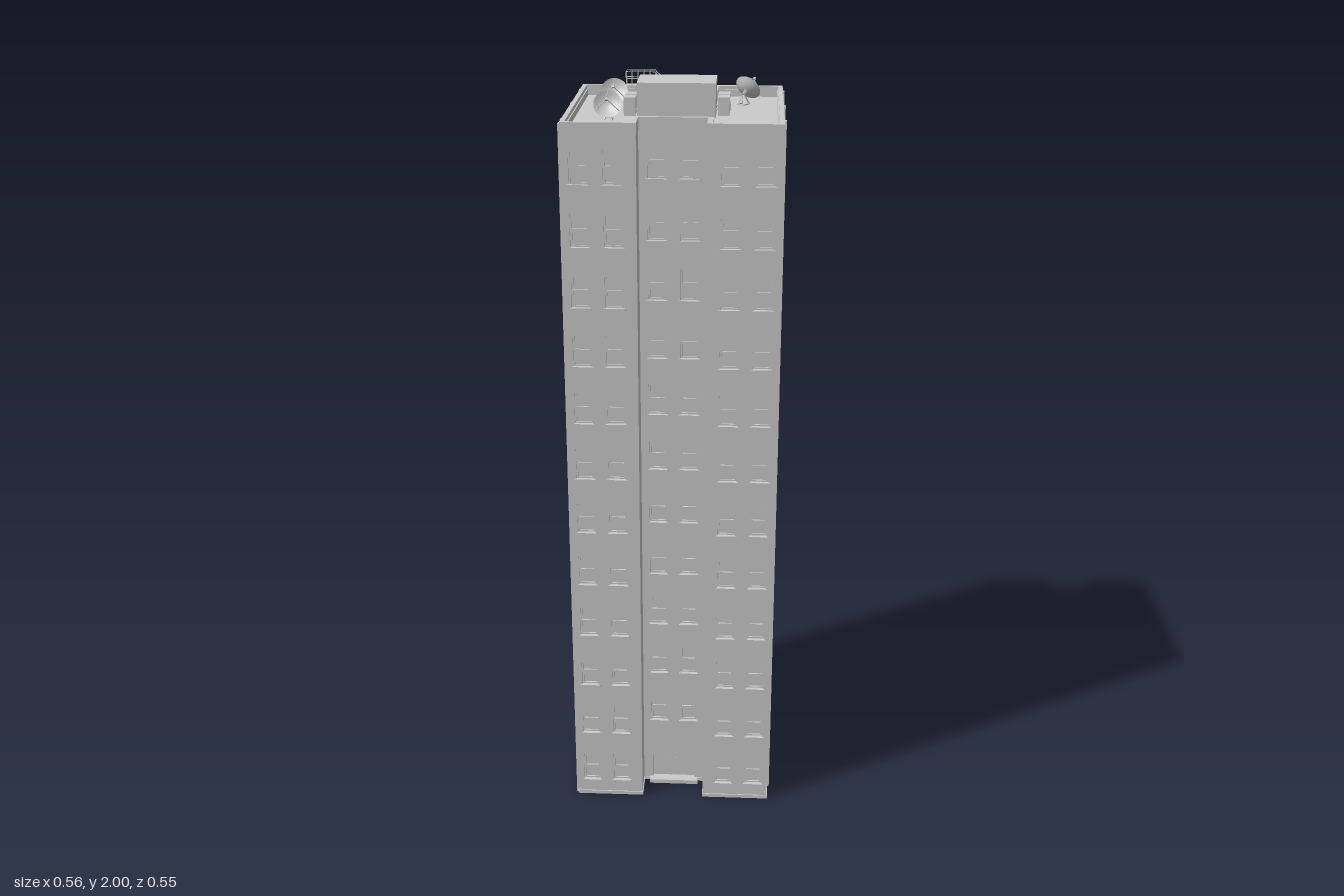
import * as THREE from 'three';
import { mergeGeometries } from 'three/addons/utils/BufferGeometryUtils.js';

const mat = new THREE.MeshStandardMaterial({ color: 0xcccccc, side: THREE.DoubleSide });
const D = 0.012, ROOF = 1.912, FLOOR = 0.158, ROWS = 12, WIN_W = 0.047, WIN_H = 0.086;
const V = (x, y, z) => new THREE.Vector3(x, y, z);

function mesh(name, geometry) {
  const m = new THREE.Mesh(geometry, mat);
  m.name = name;
  return m;
}
const merged = (name, list) =>
  mesh(name, mergeGeometries(list.map(g => (g.index ? g.toNonIndexed() : g))));

function box(w, h, d, x, y, z) {
  return new THREE.BoxGeometry(w, h, d).translate(x, y, z);
}

// Straight bar between two points
function bar(a, b, t = 0.0018, h = t) {
  const dir = b.clone().sub(a), g = new THREE.BoxGeometry(dir.length(), h, t);
  g.applyQuaternion(new THREE.Quaternion().setFromUnitVectors(V(1, 0, 0), dir.normalize()));
  const c = a.clone().add(b).multiplyScalar(0.5);
  return g.translate(c.x, c.y, c.z);
}

function rect(cls, cx, cy, w, h) {
  const p = [[-1, -1], [1, -1], [1, 1], [-1, 1]];
  return new cls(p.map(([x, y]) => new THREE.Vector2(cx + x * w / 2, cy + y * h / 2)));
}

// H-shaped plan: outer half size o, notch half width n, notch wall at r
function plan(cls, o, n, r) {
  const half = [[o, -o], [o, o], [n, o], [n, r], [-n, r], [-n, o]];
  const pts = [...half, ...half.map(([x, y]) => [-x, -y])];
  return new cls(pts.map(p => new THREE.Vector2(...p)));
}

function extrudeUp(shape, y0, y1) {
  return new THREE.ExtrudeGeometry(shape, { depth: y1 - y0, bevelEnabled: false })
    .rotateX(-Math.PI / 2).translate(0, y0, 0);
}

// Frame bars of one sash
function sash(x, y, z) {
  const w = WIN_W, h = WIN_H / 2 + 0.002, t = 0.005;
  const s = rect(THREE.Shape, x, y, w, h);
  s.holes.push(rect(THREE.Path, x, y, w - 2 * t, h - 2 * t));
  return new THREE.ExtrudeGeometry(s, { depth: 0.004, bevelEnabled: false }).translate(0, 0, z);
}

// Wall panel with recessed windows; its outer face is at local z = 0
function wall(name, width, cols, x, z, turn, hasDoor = false) {
  const g = new THREE.Group(), frames = [], sills = [];
  const shape = rect(THREE.Shape, 0, 0.965, width, 1.93);
  for (let row = hasDoor ? 1 : 0; row < ROWS; row++) {
    const y = 0.091 + row * FLOOR;
    for (const cx of cols) {
      shape.holes.push(rect(THREE.Path, cx, y, WIN_W, WIN_H));
      frames.push(sash(cx, y + WIN_H / 4, -0.007), sash(cx, y - WIN_H / 4, -0.0115));
      sills.push(box(WIN_W + 0.008, 0.005, 0.008, cx, y - WIN_H / 2 - 0.002, 0));
    }
  }
  if (hasDoor) {
    shape.holes.push(rect(THREE.Path, 0, 0.07, 0.12, 0.116));
    const leaves = [];
    for (const s of [-1, 1]) {
      leaves.push(box(0.057, 0.112, 0.004, s * 0.03, 0.07, -0.009));
      leaves.push(box(0.002, 0.02, 0.004, s * 0.007, 0.065, -0.005));
    }
    g.add(merged('entranceDoors', leaves), mesh('doorStep', box(0.14, 0.012, 0.02, 0, 0.006, 0.008)));
  }
  const panel = new THREE.ExtrudeGeometry(shape, { depth: D, bevelEnabled: false }).translate(0, 0, -D);
  g.add(mesh('wallPanel', panel), merged('windowSashes', frames), merged('windowSills', sills));
  g.name = name;
  g.position.set(x, 0, z);
  g.rotation.y = turn;
  return g;
}

// Stair flight with treads, stringers and handrails
function flight(out, x0, y0, x1, y1, z) {
  const n = 8, rail = 0.036;
  for (let i = 0; i < n; i++) {
    const t = (i + 0.5) / n;
    out.push(box(0.012, 0.002, 0.028, x0 + (x1 - x0) * t, y0 + (y1 - y0) * t, z));
  }
  for (const s of [-0.015, 0.015]) {
    out.push(bar(V(x0, y0, z + s), V(x1, y1, z + s), 0.002, 0.007));
    out.push(bar(V(x0, y0 + rail, z + s), V(x1, y1 + rail, z + s)));
    for (let i = 0; i <= 4; i++) {
      const x = x0 + (x1 - x0) * i / 4, y = y0 + (y1 - y0) * i / 4;
      out.push(bar(V(x, y, z + s), V(x, y + rail, z + s), 0.0014));
    }
  }
}

// Railing along a line
function railing(out, a, b, n) {
  const up = h => V(0, h, 0);
  for (const h of [0.02, 0.038]) out.push(bar(a.clone().add(up(h)), b.clone().add(up(h))));
  for (let i = 0; i <= n; i++) {
    const p = a.clone().lerp(b, i / n);
    out.push(bar(p, p.clone().add(up(0.038)), 0.0014));
  }
}

function landing(out, side, y) {
  out.push(box(0.033, 0.003, 0.07, side * 0.0685, y, -0.235));
  railing(out, V(side * 0.084, y, -0.269), V(side * 0.084, y, -0.2), 4);
  railing(out, V(side * 0.084, y, -0.269), V(side * 0.053, y, -0.269), 3);
}

function fireEscape() {
  const out = [], outer = -0.253, inner = -0.219;
  for (let k = 0; k < ROWS; k++) {
    const y = 0.02 + k * FLOOR, mid = y + FLOOR / 2, last = k === ROWS - 1;
    landing(out, -1, y);
    landing(out, 1, mid);
    flight(out, -0.052, y, 0.052, mid, outer);
    flight(out, 0.052, mid, last ? -0.07 : -0.052, last ? 1.947 : y + FLOOR, inner);
  }
  // Bridge over the parapet
  out.push(box(0.08, 0.003, 0.03, -0.11, 1.947, inner));
  for (const s of [-0.015, 0.015]) {
    railing(out, V(-0.07, 1.947, inner + s), V(-0.149, 1.947, inner + s), 5);
    out.push(bar(V(-0.147, ROOF, inner + s), V(-0.147, 1.947, inner + s), 0.003));
  }
  return merged('fireEscape', out);
}

// Satellite dish aimed along +z and tilted upwards, on a strutted stand
function dish(x, z, turn) {
  const g = new THREE.Group(), head = new THREE.Group(), R = 0.036;
  const profile = [0, 0.25, 0.5, 0.75, 1].map(t => new THREE.Vector2(R * t, 0.013 * t * t));
  head.add(mesh('dishBowl', new THREE.LatheGeometry(profile, 24).rotateX(Math.PI / 2)));
  const tip = V(0, 0, 0.048), struts = [box(0.006, 0.006, 0.008, 0, 0, 0.048)];
  for (let i = 0; i < 3; i++) {
    const a = Math.PI / 2 + i * Math.PI * 2 / 3;
    struts.push(bar(V(Math.cos(a) * R * 0.95, Math.sin(a) * R * 0.95, 0.012), tip, 0.0016));
  }
  head.add(merged('dishFeed', struts));
  head.rotation.x = -Math.PI / 6;
  head.position.y = 0.036;
  const legs = [bar(V(0, 0.036, 0), V(0, 0.026, -0.014), 0.006)];
  for (const s of [-1, 1]) {
    legs.push(bar(V(0, 0.03, -0.01), V(s * 0.01, 0, -0.026), 0.003));
    legs.push(bar(V(0, 0.03, -0.01), V(s * 0.01, 0, 0.002), 0.003));
    legs.push(bar(V(s * 0.01, 0.002, -0.026), V(s * 0.01, 0.002, 0.002), 0.003));
  }
  legs.push(bar(V(-0.01, 0.002, -0.026), V(0.01, 0.002, -0.026), 0.003));
  g.add(head, merged('dishStand', legs));
  g.name = 'satelliteDish';
  g.position.set(x, ROOF, z);
  g.rotation.y = turn;
  return g;
}

export function createModel() {
  const model = new THREE.Group();
  model.name = 'apartmentTower';

  // Body, plinth and parapet
  model.add(mesh('buildingCore', extrudeUp(plan(THREE.Shape, 0.27 - D, 0.087, 0.195 - D), 0, ROOF)));
  model.add(mesh('plinth', extrudeUp(plan(THREE.Shape, 0.273, 0.085, 0.196), 0, 0.01)));
  const cap = plan(THREE.Shape, 0.273, 0.086, 0.196);
  cap.holes.push(plan(THREE.Path, 0.261, 0.1, 0.186));
  model.add(mesh('parapet', extrudeUp(cap, ROOF - 0.002, 1.94)));

  // Walls with windows
  for (const s of [1, -1]) {
    const turn = s > 0 ? 0 : Math.PI, end = s > 0 ? 'front' : 'back';
    for (const x of [-0.1785, 0.1785]) {
      const cols = [-0.0425, 0.0425].map(c => c + (x * s > 0 ? 0.0095 : -0.0095));
      model.add(wall(end + 'WingWall', 0.183, cols, x, s * 0.27, turn));
    }
    model.add(wall(end + 'RecessWall', 0.174, [-0.042, 0.042], 0, s * 0.195, turn, s > 0));
    model.add(wall(s > 0 ? 'leftWall' : 'rightWall', 0.54 - 2 * D,
      [-0.157, -0.073, 0.073, 0.157], s * 0.27, 0, s * Math.PI / 2));
    // Side pilasters
    const zs = s > 0 ? [-0.216, 0, 0.202] : [-0.216, -0.015, 0.202, 0.255];
    for (const z of zs) model.add(mesh('pilaster', box(0.012, 1.935, 0.02, s * 0.272, 0.9675, z)));
  }

  model.add(fireEscape());

  // Roof hut with door and lamp
  model.add(mesh('roofHut', box(0.2, 2 - ROOF, 0.13, 0, (2 + ROOF) / 2, -0.005)));
  model.add(mesh('roofDoor', box(0.036, 0.066, 0.003, 0.03, ROOF + 0.033, -0.071)));
  model.add(mesh('doorLamp', box(0.009, 0.007, 0.01, 0.03, ROOF + 0.076, -0.076)));

  // Air conditioning units on feet, beside the hut
  for (const [x, z] of [[-0.12, -0.025], [-0.12, 0.023], [0.12, -0.039], [0.12, 0.011]]) {
    const parts = [box(0.03, 0.042, 0.04, x, ROOF + 0.027, z)];
    for (const s of [-1, 1]) parts.push(box(0.03, 0.006, 0.005, x, ROOF + 0.003, z + s * 0.014));
    parts.push(box(Math.abs(x) - 0.1, 0.004, 0.004, Math.sign(x) * 0.11, ROOF + 0.015, z));
    parts.push(new THREE.CylinderGeometry(0.013, 0.013, 0.002, 16).rotateZ(Math.PI / 2)
      .translate(x + Math.sign(x) * 0.0155, ROOF + 0.027, z));
    model.add(merged('airConditioner', parts));
  }

  model.add(dish(-0.17, -0.09, 0), dish(-0.17, 0.095, 0), dish(0.174, -0.146, Math.PI - 0.55));
  return model;
}
